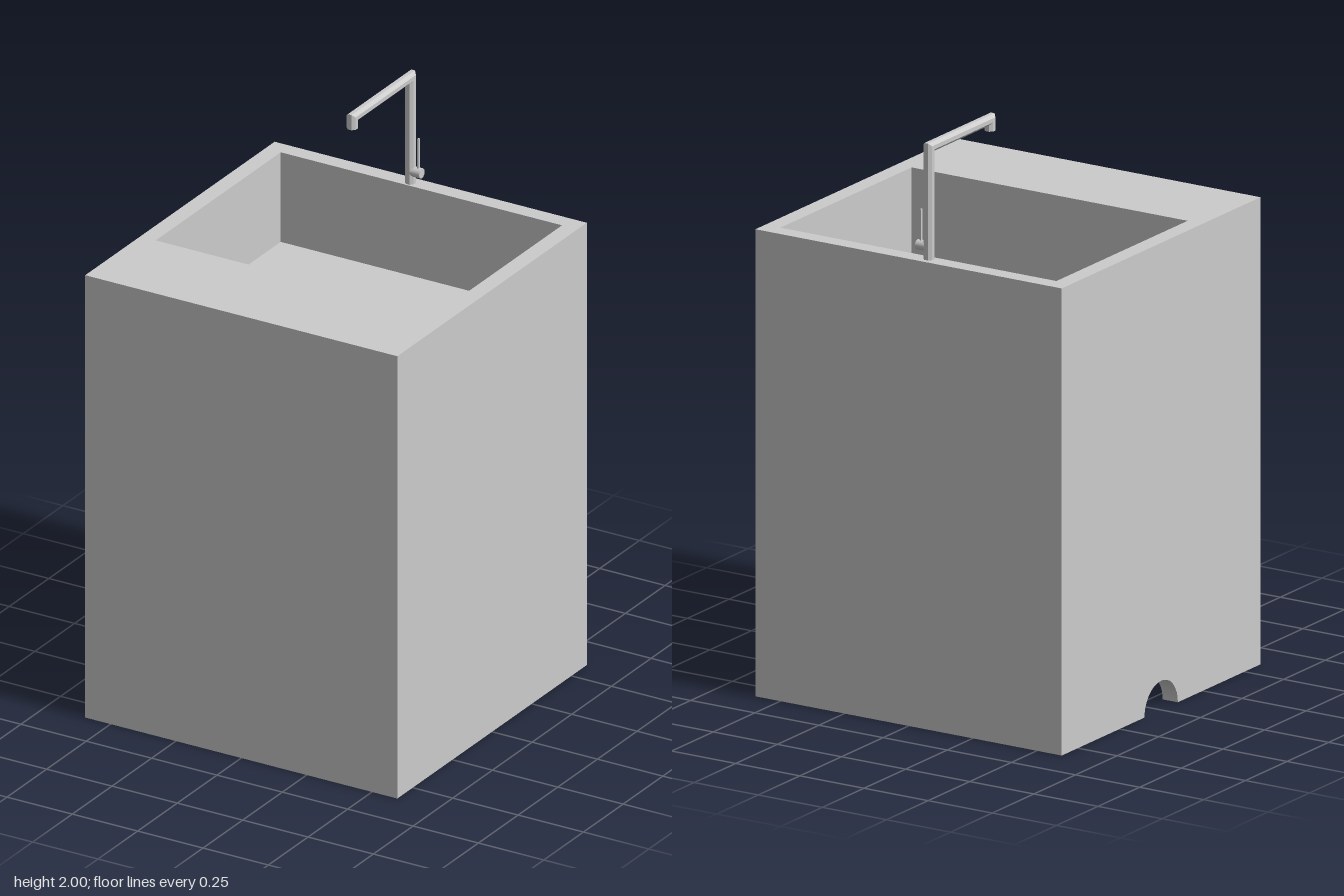
import * as THREE from 'three';
import { mergeGeometries } from 'three/addons/utils/BufferGeometryUtils.js';

const H = 0.597;          // half width of the cabinet
const IN = 0.538;         // half width inside the walls
const TOP = 1.6;          // counter height
const BASIN = { x: IN, z0: -IN, z1: 0.25, floor: 1.276 };
const CEILING = 0.395;    // top of the hollow underneath
const NOTCH = 0.1;        // radius of the pipe cutout

const grey = new THREE.MeshStandardMaterial({ color: 0xcccccc });
const greyDouble = new THREE.MeshStandardMaterial({ color: 0xcccccc, side: THREE.DoubleSide });

function add(parent, name, geometry, material = grey) {
  const mesh = new THREE.Mesh(geometry, material);
  mesh.name = name;
  parent.add(mesh);
  return mesh;
}

const polygon = (pts) => new THREE.Shape(pts.map(([x, y]) => new THREE.Vector2(x, y)));
const rect = (x0, x1, y0, y1) => [[x0, y0], [x1, y0], [x1, y1], [x0, y1]];

// Upright panel from a to b (x, z), facing the right of a viewer walking... i.e. direction x up
function panel([ax, az], [bx, bz], y0, y1, notched) {
  const dx = bx - ax, dz = bz - az, len = Math.hypot(dx, dz);
  const s = new THREE.Shape();
  s.moveTo(0, 0);
  if (notched) {
    s.lineTo(len / 2 - NOTCH, 0);
    s.absarc(len / 2, 0, NOTCH, Math.PI, 0, true);
  }
  s.lineTo(len, 0).lineTo(len, y1 - y0).lineTo(0, y1 - y0).lineTo(0, 0);
  return new THREE.ShapeGeometry(s, 24).rotateY(Math.atan2(-dz, dx)).translate(ax, y0, az);
}

// Four panels round a rectangle, facing outward or inward; the last is the -x side
function walls(x0, x1, z0, z1, y0, y1, { inward = false, notched = false } = {}) {
  const c = [[x0, z1], [x1, z1], [x1, z0], [x0, z0]];
  return mergeGeometries(c.map((p, i) => {
    const q = c[(i + 1) % 4];
    return inward ? panel(q, p, y0, y1, notched && i === 3) : panel(p, q, y0, y1, notched && i === 3);
  }));
}

// Level faces; shapes are drawn in (x, z) for down and (x, -z) for up
const faceUp = (shape, y) => new THREE.ShapeGeometry(shape).rotateX(-Math.PI / 2).translate(0, y, 0);
const faceDown = (shape, y) => new THREE.ShapeGeometry(shape).rotateX(Math.PI / 2).translate(0, y, 0);

// Faceted tube along a (z, y) path at constant x, mitred at the bends
function mitredTube(x, path, r, sides) {
  const pos = [], index = [];
  const pts = path.map(([z, y]) => new THREE.Vector2(z, y));
  const normals = pts.slice(1).map((p, i) => {
    const d = p.clone().sub(pts[i]).normalize();
    return new THREE.Vector2(-d.y, d.x);
  });
  pts.forEach((p, i) => {
    const n0 = normals[Math.max(i - 1, 0)], n1 = normals[Math.min(i, normals.length - 1)];
    const m = n0.clone().add(n1).divideScalar(1 + n0.dot(n1));
    for (let j = 0; j < sides; j++) {
      const t = ((j + 0.5) / sides) * Math.PI * 2;
      const k = r * Math.cos(t);
      pos.push(x - r * Math.sin(t), p.y + m.y * k, p.x + m.x * k);
    }
  });
  const last = (pts.length - 1) * sides;
  for (let j = 0; j < sides; j++) {
    const n = (j + 1) % sides;
    for (let a = 0; a < last; a += sides) {
      index.push(a + j, a + n, a + sides + n, a + j, a + sides + n, a + sides + j);
    }
    if (j > 0 && n > 0) index.push(0, n, j, last, last + j, last + n);
  }
  const g = new THREE.BufferGeometry();
  g.setAttribute('position', new THREE.Float32BufferAttribute(pos, 3));
  g.setIndex(index);
  const flat = g.toNonIndexed();
  flat.computeVertexNormals();
  return flat;
}

function createCabinet() {
  const g = new THREE.Group();
  g.name = 'cabinet';
  add(g, 'outerWalls', walls(-H, H, -H, H, 0, TOP, { notched: true }));

  // Counter with the basin opening, wide at the front
  const counter = polygon(rect(-H, H, -H, H));
  counter.holes.push(polygon(rect(-BASIN.x, BASIN.x, -BASIN.z1, -BASIN.z0)));
  add(g, 'counterTop', faceUp(counter, TOP));
  add(g, 'basinWalls', walls(-BASIN.x, BASIN.x, BASIN.z0, BASIN.z1, BASIN.floor, TOP, { inward: true }));
  add(g, 'basinFloor', faceUp(polygon(rect(-BASIN.x, BASIN.x, -BASIN.z1, -BASIN.z0)), BASIN.floor));

  // Hollow underside
  add(g, 'hollowWalls', walls(-IN, IN, -IN, IN, 0, CEILING, { inward: true, notched: true }));
  add(g, 'hollowCeiling', faceDown(polygon(rect(-IN, IN, -IN, IN)), CEILING));
  add(g, 'bottomEdge', faceDown(polygon([
    [-H, NOTCH], [-H, H], [H, H], [H, -H], [-H, -H], [-H, -NOTCH],
    [-IN, -NOTCH], [-IN, -IN], [IN, -IN], [IN, IN], [-IN, IN], [-IN, NOTCH],
  ]), 0));

  // Arched lining of the pipe cutout
  const arch = new THREE.CylinderGeometry(NOTCH, NOTCH, H - IN, 24, 1, true, 0, Math.PI);
  arch.rotateZ(Math.PI / 2).translate(-(H + IN) / 2, 0, 0);
  add(g, 'pipeCutout', arch, greyDouble);
  return g;
}

function createFaucet() {
  const g = new THREE.Group();
  g.name = 'faucet';
  const x = -0.056, z = -0.561, r = 0.0185;
  add(g, 'spout', mitredTube(x, [[z, TOP], [z, 1.983], [-0.195, 1.983], [-0.195, 1.945]], r, 8));

  // Side valve and its thin upright lever
  const valve = new THREE.CylinderGeometry(0.0175, 0.0175, 0.044, 12).rotateZ(Math.PI / 2);
  add(g, 'valve', valve.toNonIndexed()).position.set(-0.034, 1.643, z);
  add(g, 'lever', new THREE.BoxGeometry(0.005, 0.12, 0.008)).position.set(-0.025, 1.706, z);
  return g;
}

export function createModel() {
  const model = new THREE.Group();
  model.name = 'washbasinCabinet';
  model.add(createCabinet(), createFaucet());
  return model;
}
